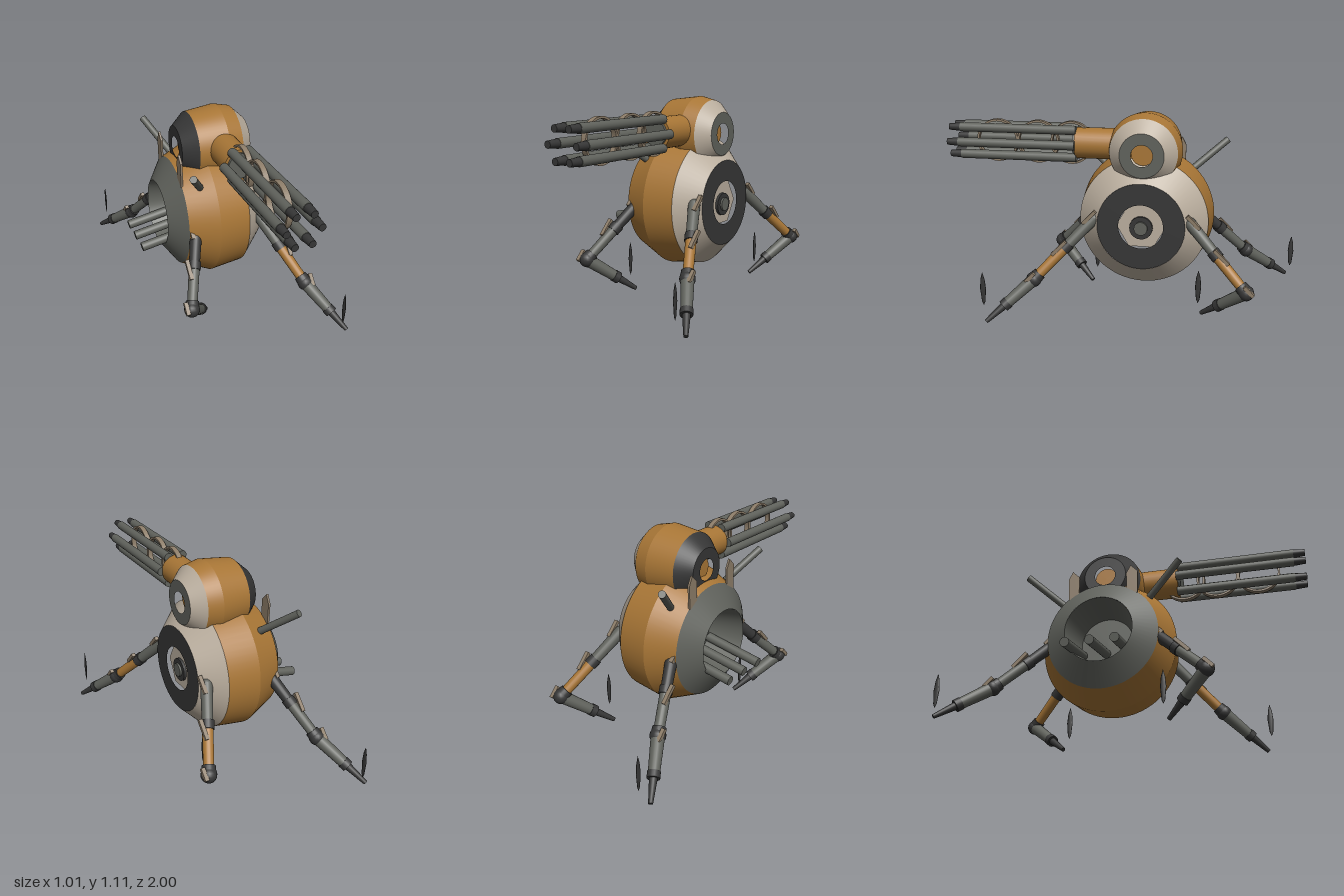
import * as THREE from 'three';

const mat = (name, color, side = THREE.FrontSide) => {
  const m = new THREE.MeshStandardMaterial({ color, side });
  m.name = name;
  return m;
};
const V = (x, y, z) => new THREE.Vector3(x, y, z);
const UP = V(0, 1, 0);

export function createModel() {
  const root = new THREE.Group();
  const ochre = mat('ochre', 0xa87636);
  const beige = mat('beige', 0xbaae9e);
  const grey = mat('grey', 0x60625c);
  const innerGrey = mat('innerGrey', 0x60625c, THREE.DoubleSide);
  const charcoal = mat('charcoal', 0x363636);
  const tan = mat('tan', 0x8c7c68);

  const add = (name, geo, m, parent = root) => {
    const mesh = new THREE.Mesh(geo, m);
    mesh.name = name;
    parent.add(mesh);
    return mesh;
  };
  // Round bar from a to b
  const rod = (name, a, b, r1, r2, m, parent = root, open = false, sides = 20) => {
    const d = b.clone().sub(a);
    const mesh = add(name, new THREE.CylinderGeometry(r2, r1, d.length(), sides, 1, open), m, parent);
    mesh.position.copy(a).addScaledVector(d, 0.5);
    mesh.quaternion.setFromUnitVectors(UP, d.normalize());
    return mesh;
  };
  // Shell of straight bands turned about a line along x: [x, radius, material]
  const shell = (name, cy, cz, pts, parent) => {
    for (let i = 0; i + 1 < pts.length; i++) {
      const [x1, r1, m] = pts[i], [x2, r2] = pts[i + 1];
      rod(name, V(x1, cy, cz), V(x2, cy, cz), r1, r2, m, parent, true, 64);
    }
  };
  // Flat ring or disc facing along x
  const ring = (name, x, cy, cz, inner, outer, m, dir, parent, sides = 48) => {
    const geo = inner ? new THREE.RingGeometry(inner, outer, sides) : new THREE.CircleGeometry(outer, sides);
    const mesh = add(name, geo, m, parent);
    mesh.position.set(x, cy, cz);
    mesh.rotation.y = dir * Math.PI / 2;
  };

  // Body
  const CZ = -0.13, CY = 0.515;
  const body = new THREE.Group();
  body.name = 'body';
  root.add(body);
  shell('bodyShell', CY, CZ, [
    [-0.335, 0.19, grey], [-0.25, 0.315, ochre], [-0.09, 0.387, ochre],
    [0.09, 0.365, beige], [0.21, 0.245],
  ], body);
  ring('hatchRing', 0.21, CY, CZ, 0.125, 0.245, charcoal, 1, body);
  ring('hatchPlate', 0.185, CY, CZ, 0, 0.14, beige, 1, body, 6);
  rod('hatchHub', V(0.17, 0.505, CZ), V(0.2, 0.505, CZ), 0.065, 0.065, charcoal, body);
  rod('hatchPin', V(0.19, 0.505, CZ), V(0.212, 0.505, CZ), 0.038, 0.038, grey, body);

  // Open bay with exhaust pipes
  rod('bayWall', V(-0.335, CY, CZ), V(-0.13, CY, CZ), 0.19, 0.15, innerGrey, body, true, 48);
  ring('bayFloor', -0.13, CY, CZ, 0, 0.15, innerGrey, -1, body);
  for (const z of [-0.27, -0.135, 0]) {
    rod('exhaustPipe', V(-0.14, 0.45, z), V(-0.475, 0.386, z), 0.026, 0.026, grey, body);
  }

  // Turret
  const TY = 0.91;
  const turret = new THREE.Group();
  turret.name = 'turret';
  root.add(turret);
  shell('turretShell', TY, CZ, [
    [-0.215, 0.12, charcoal], [-0.135, 0.19, ochre], [0.035, 0.21, ochre],
    [0.12, 0.19, beige], [0.19, 0.122],
  ], turret);
  ring('turretRingLeft', 0.19, TY, CZ, 0.06, 0.123, grey, 1, turret);
  ring('turretRingRight', -0.215, TY, CZ, 0.06, 0.121, charcoal, -1, turret);
  rod('turretAxle', V(-0.18, TY, CZ), V(0.14, TY, CZ), 0.065, 0.065, ochre, turret);

  // Gun: mount, six barrels and three upright hoops
  const gun = new THREE.Group();
  gun.name = 'gun';
  root.add(gun);
  const GX = 0.01, GY = 0.934;
  rod('gunMount', V(GX, GY, -0.05), V(GX, GY, 0.265), 0.088, 0.088, ochre, gun, false, 32);
  rod('gunMountCap', V(GX, GY, 0.26), V(GX, GY, 0.28), 0.072, 0.072, grey, gun);
  for (let i = 0; i < 6; i++) {
    const a = i * Math.PI / 3;
    const x = GX + 0.09 * Math.cos(a), y = GY + 0.09 * Math.sin(a);
    rod('barrel', V(x, y, 0.26), V(x, y, 0.935), 0.026, 0.026, grey, gun);
    rod('muzzle', V(x, y, 0.93), V(x, y, 1), 0.024, 0.019, charcoal, gun);
  }
  const hoopShape = new THREE.Shape().absarc(0, 0, 0.122, 0, Math.PI * 2);
  hoopShape.holes.push(new THREE.Path().absarc(0, 0, 0.11, 0, Math.PI * 2, true));
  const hoopGeo = new THREE.ExtrudeGeometry(hoopShape, { depth: 0.03, bevelEnabled: false, curveSegments: 32 });
  hoopGeo.translate(0, 0, -0.015).rotateY(Math.PI / 2);
  for (const z of [0.295, 0.49, 0.73]) add('barrelHoop', hoopGeo, tan, gun).position.set(GX, GY, z);

  // Slanted tubes and fins on the shoulder
  for (const s of [1, -1]) {
    rod('shoulderTube', V(-0.165, 0.765, CZ + s * 0.25), V(-0.27, 0.923, CZ + s * 0.445), 0.02, 0.02, grey);
    const fin = new THREE.Shape([[-0.03, -0.09], [0.03, -0.09], [0.035, 0.04], [0.01, 0.09], [-0.03, 0.05]]
      .map(p => new THREE.Vector2(...p)));
    const finGeo = new THREE.ExtrudeGeometry(fin, { depth: 0.012, bevelEnabled: false });
    finGeo.rotateY(Math.PI / 2);
    add('shoulderFin', finGeo, tan).position.set(-0.255, 0.845, CZ + s * 0.17);
  }

  // Legs: hip, knee and toe, each with joints, armour plates and a hanging spindle
  const legs = [
    ['frontLeftLeg', V(0.175, 0.54, 0.14), V(0.34, 0.22, 0.45), V(0.49, 0.015, 0.685), grey, ochre],
    ['backLeftLeg', V(0.175, 0.54, -0.4), V(0.34, 0.22, -0.72), V(0.18, 0.015, -0.475), grey, ochre],
    ['frontRightLeg', V(-0.2, 0.52, 0.15), V(-0.34, 0.22, 0.45), V(-0.175, 0.025, 0.22), charcoal, grey],
    ['backRightLeg', V(-0.2, 0.52, -0.41), V(-0.34, 0.22, -0.71), V(-0.495, 0.025, -0.96), charcoal, grey],
  ];
  const spindleGeo = new THREE.LatheGeometry(
    [[0, -0.098], [0.01, -0.075], [0.017, 0], [0.012, 0.055], [0, 0.098]].map(p => new THREE.Vector2(...p)), 10);
  spindleGeo.scale(0.3, 1, 1);
  for (const [name, hip, knee, toe, upperMat, lowerMat] of legs) {
    const leg = new THREE.Group();
    leg.name = name;
    root.add(leg);
    const up = t => hip.clone().lerp(knee, t), low = t => knee.clone().lerp(toe, t);
    add('hipBall', new THREE.SphereGeometry(0.034, 16, 12), upperMat, leg).position.copy(hip);
    rod('thigh', up(0), up(0.44), 0.034, 0.03, upperMat, leg);
    rod('thighJoint', up(0.41), up(0.51), 0.036, 0.036, charcoal, leg);
    rod('shin', up(0.5), up(0.95), 0.03, 0.028, lowerMat, leg);
    rod('kneeCollar', up(0.9), up(1), 0.036, 0.04, charcoal, leg);
    add('knee', new THREE.SphereGeometry(0.043, 16, 12), charcoal, leg).position.copy(knee);
    rod('foot', low(0.05), low(0.6), 0.036, 0.03, grey, leg);
    rod('footJoint', low(0.54), low(0.64), 0.034, 0.034, charcoal, leg);
    rod('toe', low(0.62), low(1), 0.022, 0.012, charcoal, leg);

    // Armour plates lie outside the leg, tilted along it
    const sx = Math.sign(hip.x), sz = Math.sign(knee.z - hip.z);
    const tilt = Math.atan2(knee.z - hip.z, hip.y - knee.y);
    for (const [p, h] of [[up(0), 0.1], [up(0.5), 0.11], [up(0.98), 0.07]]) {
      const plate = add('legPlate', new THREE.BoxGeometry(0.022, h, 0.02), tan, leg);
      plate.position.set(p.x + sx * 0.035, p.y + 0.015, p.z + sz * 0.02);
      plate.rotation.x = -tilt;
    }
    const spindle = add('spindle', spindleGeo, charcoal, leg);
    const outward = Math.abs(toe.x) > 0.3;
    spindle.position.set(sx * (outward ? 0.445 : 0.226), 0.19, toe.z + sz * (outward ? 0.025 : -0.018));
  }
  return root;
}
